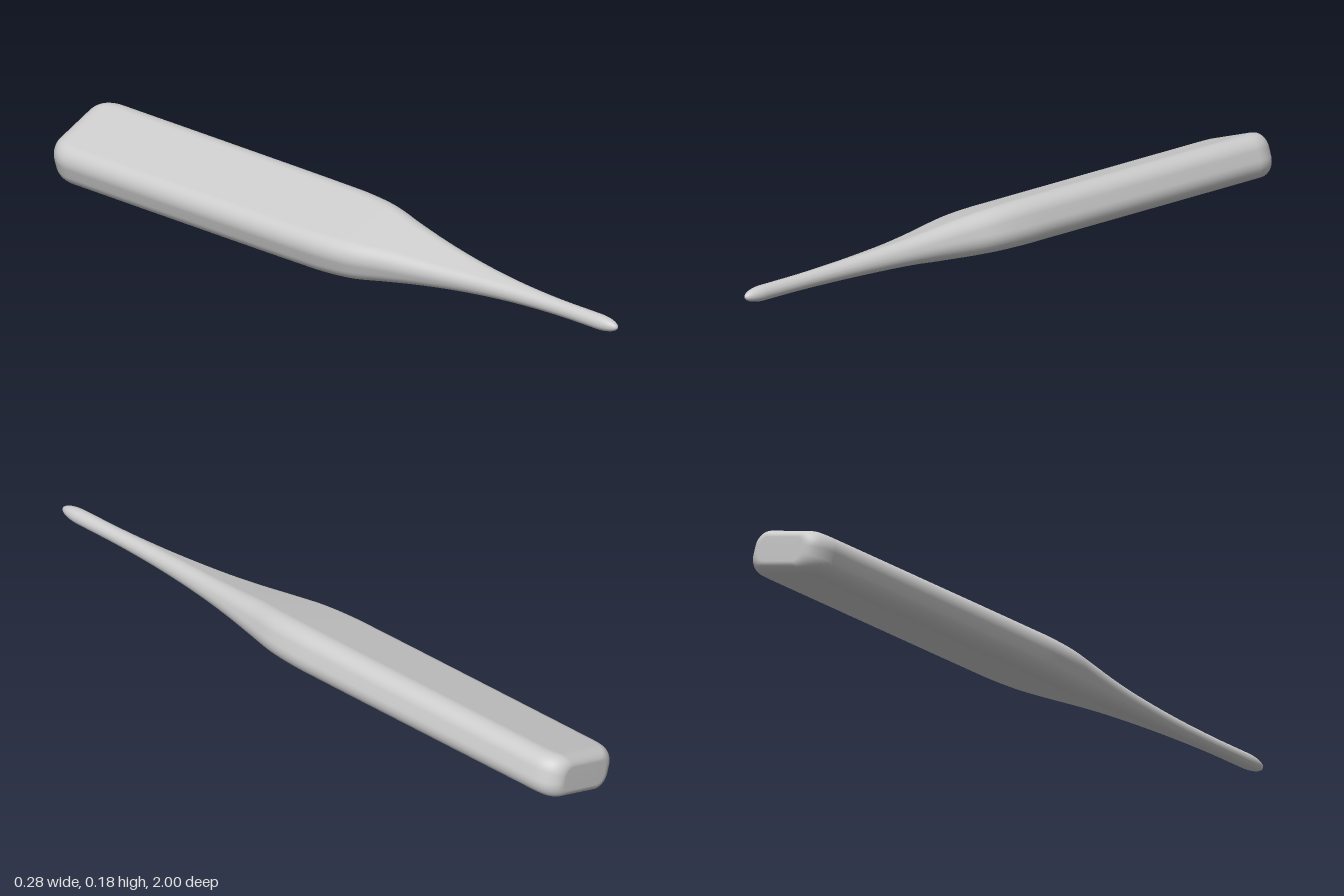
import * as THREE from 'three';

const TILT = THREE.MathUtils.degToRad(18);
const CENTER_Y = 0.0932;
const CORNER_STEPS = 10;

// Quarter-ellipse rise from 0 to 1 over the given depth
const arc = (d, depth) => Math.sqrt(1 - (1 - Math.min(d / depth, 1)) ** 2);

// Tilted rounded rectangle with half width a and half height b
function section({ a, b, z, ratio }) {
  const r = Math.min(a, b) * ratio;
  const points = [];
  for (let q = 0; q < 4; q++) {
    const cx = (q === 0 || q === 3 ? 1 : -1) * (a - r);
    const cy = (q < 2 ? 1 : -1) * (b - r);
    for (let i = 0; i <= CORNER_STEPS; i++) {
      const t = (q + i / CORNER_STEPS) * Math.PI / 2;
      const u = cx + r * Math.cos(t), v = cy + r * Math.sin(t);
      points.push([
        u * Math.cos(TILT) - v * Math.sin(TILT),
        CENTER_Y + u * Math.sin(TILT) + v * Math.cos(TILT),
        z,
      ]);
    }
  }
  return points;
}

// Skin a list of sections and close both ends
function loft(rings) {
  const n = rings[0].length;
  const positions = rings.flat(2);
  const index = [];
  for (let j = 0; j < rings.length - 1; j++) {
    for (let i = 0; i < n; i++) {
      const k = (i + 1) % n;
      const p = j * n + i, q = j * n + k;
      index.push(p, q, q + n, p, q + n, p + n);
    }
  }
  const back = rings.length * n, front = back + 1, last = (rings.length - 1) * n;
  positions.push(0, CENTER_Y, rings[0][0][2], 0, CENTER_Y, rings.at(-1)[0][2]);
  for (let i = 0; i < n; i++) {
    const k = (i + 1) % n;
    index.push(back, k, i, front, last + i, last + k);
  }
  const geometry = new THREE.BufferGeometry();
  geometry.setAttribute('position', new THREE.Float32BufferAttribute(positions, 3));
  geometry.setIndex(index);
  geometry.computeVertexNormals();
  return geometry;
}

export function createModel() {
  const stations = [];
  const ratioFor = (a) => 0.77 + 0.23 * THREE.MathUtils.clamp((0.141 - a) / 0.11, 0, 1);

  // Rounded butt end
  for (let i = 0; i < 14; i++) {
    const d = 0.08 * (1 - Math.cos((i / 14) * Math.PI / 2));
    stations.push({
      a: 0.085 + 0.056 * arc(d, 0.08),
      b: 0.036 + 0.029 * arc(d, 0.045),
      z: -1 + d,
      ratio: 0.77,
    });
  }

  // Straight blade flowing into the slim round grip: half width, half height, z
  const profile = new THREE.CatmullRomCurve3([
    [0.141, 0.065, -0.92], [0.141, 0.065, -0.5], [0.14, 0.065, -0.1],
    [0.138, 0.065, 0], [0.128, 0.062, 0.1], [0.104, 0.055, 0.2],
    [0.082, 0.045, 0.3], [0.063, 0.037, 0.4], [0.047, 0.032, 0.5],
    [0.035, 0.028, 0.6], [0.027, 0.025, 0.7], [0.023, 0.023, 0.8],
    [0.0225, 0.0225, 0.93],
  ].map((p) => new THREE.Vector3(...p)));
  for (const p of profile.getPoints(72)) {
    stations.push({ a: p.x, b: p.y, z: p.z, ratio: ratioFor(p.x) });
  }

  // Rounded grip tip
  for (let i = 1; i <= 12; i++) {
    const t = (i / 12) * Math.PI / 2;
    const r = Math.max(0.0225 * Math.cos(t), 0.0005);
    stations.push({ a: r, b: r, z: 0.93 + 0.07 * Math.sin(t), ratio: 1 });
  }

  const material = new THREE.MeshStandardMaterial({ color: 0xcccccc });
  const paddle = new THREE.Mesh(loft(stations.map(section)), material);
  paddle.name = 'paddleBladeAndGrip';

  const group = new THREE.Group();
  group.name = 'paddle';
  group.add(paddle);
  return group;
}
